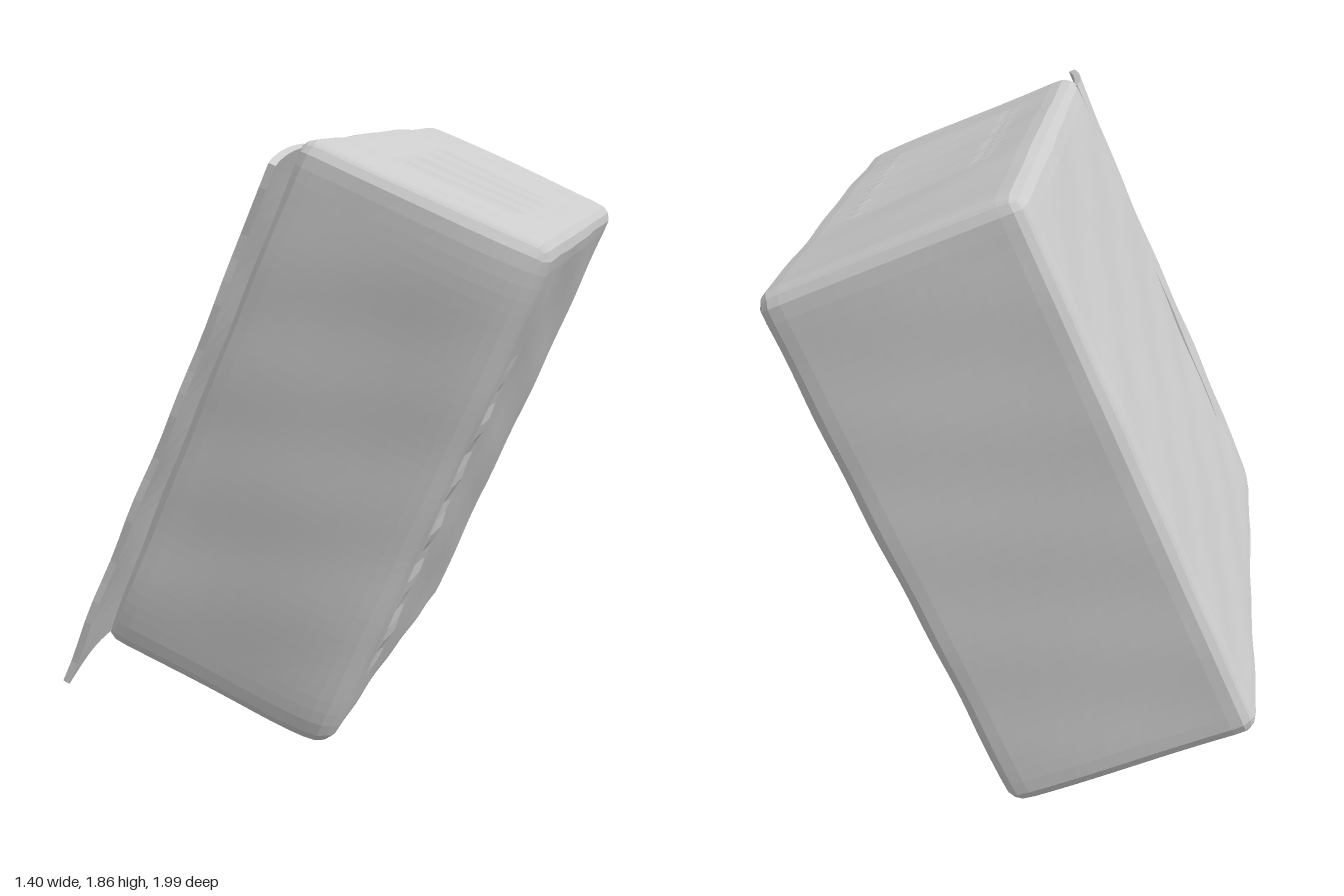
import * as THREE from 'three';

const material = new THREE.MeshStandardMaterial({ color: 0xcccccc, flatShading: true });
const HALF = new THREE.Vector3(0.395, 0.853, 0.795); // half width, height, depth of the carton
const RADIUS = 0.06;
const smooth = THREE.MathUtils.smoothstep;

// 1 inside [a, b], fading to 0 over f on both sides
const band = (t, a, b, f) => smooth(t, a - f, a) * (1 - smooth(t, b, b + f));

// move every vertex of a geometry by a rule
function deform(geometry, rule) {
  const pos = geometry.attributes.position;
  const p = new THREE.Vector3();
  for (let i = 0; i < pos.count; i++) {
    rule(p.fromBufferAttribute(pos, i));
    pos.setXYZ(i, p.x, p.y, p.z);
  }
  geometry.computeVertexNormals();
  return geometry;
}

// gentle dents of worn cardboard
const dents = (p) =>
  0.003 * Math.sin(7 * p.x + 5 * p.y + 3 * p.z) +
  0.003 * Math.sin(11 * p.z - 8 * p.y + 6 * p.x) * Math.cos(9 * p.y + 4 * p.z);

// raised rows on the end panels and a column of bumps on the right panel
function relief(p, n) {
  const rows = Math.abs(n.y) * band(p.x, -0.17, 0.2, 0.05) * band(p.z, -0.2, 0.5, 0.05);
  const column = Math.max(n.x, 0) * band(p.z, 0.44, 0.56, 0.03) * band(p.y, -0.6, 0.4, 0.05);
  return 0.007 * rows * Math.sin(p.z * 100) + 0.008 * column * Math.sin(p.y * 34);
}

function makeCarton() {
  const inner = HALF.clone().subScalar(RADIUS);
  const n = new THREE.Vector3(), core = new THREE.Vector3();
  const geometry = new THREE.BoxGeometry(HALF.x * 2, HALF.y * 2, HALF.z * 2, 20, 40, 84);
  deform(geometry, (p) => {
    // round the edges, then press the relief along the surface normal
    core.copy(p).clamp(inner.clone().negate(), inner);
    n.subVectors(p, core).normalize();
    p.copy(core).addScaledVector(n, RADIUS);
    p.addScaledVector(n, dents(p) + relief(p, n));
    // the front panel falls back towards its right and end edges
    const front = smooth(p.z, 0.3, HALF.z);
    const u = Math.max(p.x / HALF.x, 0), v = p.y / HALF.y;
    p.z -= front * (0.045 * u ** 4 + 0.025 * v ** 8);
  });
  const carton = new THREE.Mesh(geometry, material);
  carton.name = 'carton';
  carton.position.z = -0.185;
  return carton;
}

function makeFlap() {
  const start = 0.5, end = 0.97, thickness = 0.022;
  const geometry = new THREE.BoxGeometry(thickness, 1.61, end - start, 1, 24, 12);
  deform(geometry, (p) => {
    const t = p.z / (end - start) + 0.5;
    p.x += 0.06 * t * t + dents(p); // curls in towards the front
    p.z += t * (-0.025 * p.y + 0.004 * Math.sin(p.y * 19)); // slanted, slightly torn edge
    p.y += 0.012 * (1 - t) * Math.sign(p.y);
  });
  const flap = new THREE.Mesh(geometry, material);
  flap.name = 'flap';
  flap.position.set(-HALF.x + thickness / 2 - 0.002, 0, (start + end) / 2);
  return flap;
}

export function createModel() {
  const model = new THREE.Group();
  model.name = 'openCarton';

  // the whole carton leans sideways and is turned a little
  const lean = new THREE.Group();
  lean.name = 'leaningCarton';
  lean.position.y = 0.955;
  lean.rotation.z = THREE.MathUtils.degToRad(-23.5);
  const turn = new THREE.Group();
  turn.name = 'cartonBody';
  turn.rotation.y = 0.03;
  turn.add(makeCarton(), makeFlap());
  lean.add(turn);
  model.add(lean);
  return model;
}
